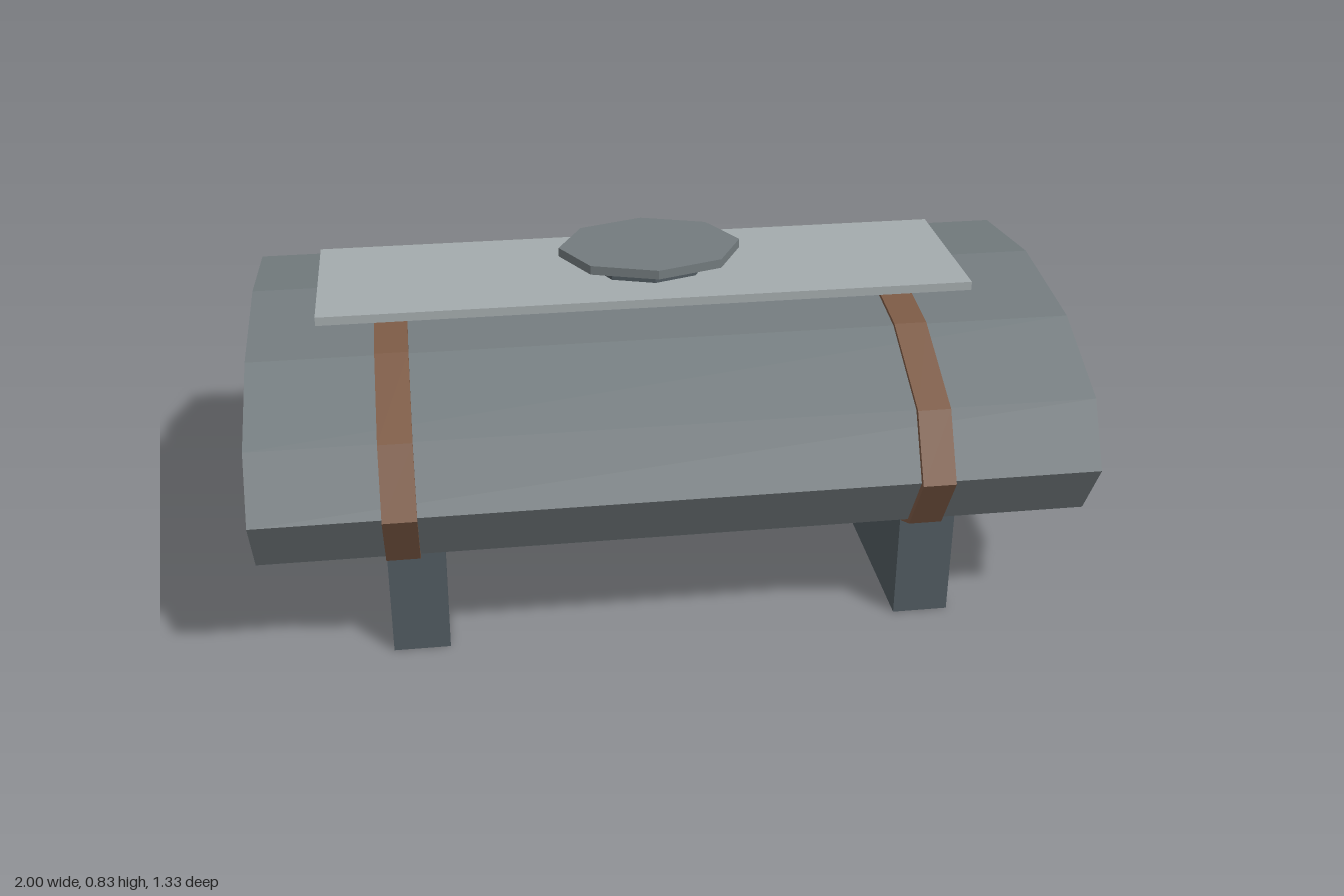
import * as THREE from 'three';

const CENTRE_Y = 0.46;
const SIDES = 12;

const paint = (color) => new THREE.MeshStandardMaterial({ color, flatShading: true });

// Twelve-sided oval outline in the z-y plane
function oval(rz, ry, PathType) {
  const points = [];
  for (let i = 0; i < SIDES; i++) {
    const a = (i / SIDES) * Math.PI * 2;
    points.push(new THREE.Vector2(Math.cos(a) * rz, Math.sin(a) * ry));
  }
  return new PathType(points);
}

// Extrude an outline along x, starting at x0
function extrudeAlongX(shape, x0, width) {
  const geometry = new THREE.ExtrudeGeometry(shape, { depth: width, bevelEnabled: false });
  geometry.rotateY(Math.PI / 2);
  geometry.translate(x0, CENTRE_Y, 0);
  return geometry;
}

export function createModel() {
  const group = new THREE.Group();
  const tankPaint = paint(0x737b7e);
  const strapPaint = paint(0x7c5a45);
  const saddlePaint = paint(0x515b61);
  const platePaint = paint(0xa4abad);

  const add = (name, geometry, material) => {
    const mesh = new THREE.Mesh(geometry, material);
    mesh.name = name;
    group.add(mesh);
  };
  const box = (x0, x1, y0, y1, halfZ) =>
    new THREE.BoxGeometry(x1 - x0, y1 - y0, halfZ * 2)
      .translate((x0 + x1) / 2, (y0 + y1) / 2, 0);
  // Eight-sided oval disc
  const disc = (rx, rz, y0, y1) =>
    new THREE.CylinderGeometry(1, 1, y1 - y0, 8)
      .scale(rx, 1, rz)
      .translate(0, (y0 + y1) / 2, 0);

  // Oval tank body
  add('tank', extrudeAlongX(oval(0.65, 0.3, THREE.Shape), -1, 2), tankPaint);

  // Straps around the tank, each above a support saddle
  for (const [side, x] of [['right', -0.7], ['left', 0.558]]) {
    const ring = oval(0.666, 0.309, THREE.Shape);
    ring.holes.push(oval(0.645, 0.297, THREE.Path));
    add(side + 'Strap', extrudeAlongX(ring, x + 0.001, 0.08), strapPaint);
    add(side + 'Saddle', box(x, x + 0.138, 0, 0.284, 0.505), saddlePaint);
  }

  // Walkway plate and filler hatch on top
  add('topPlate', box(-0.838, 0.786, 0.754, 0.776, 0.216), platePaint);
  add('hatchNeck', disc(0.15, 0.118, 0.75, 0.813), saddlePaint);
  add('hatchLid', disc(0.232, 0.18, 0.812, 0.835), tankPaint);

  return group;
}
